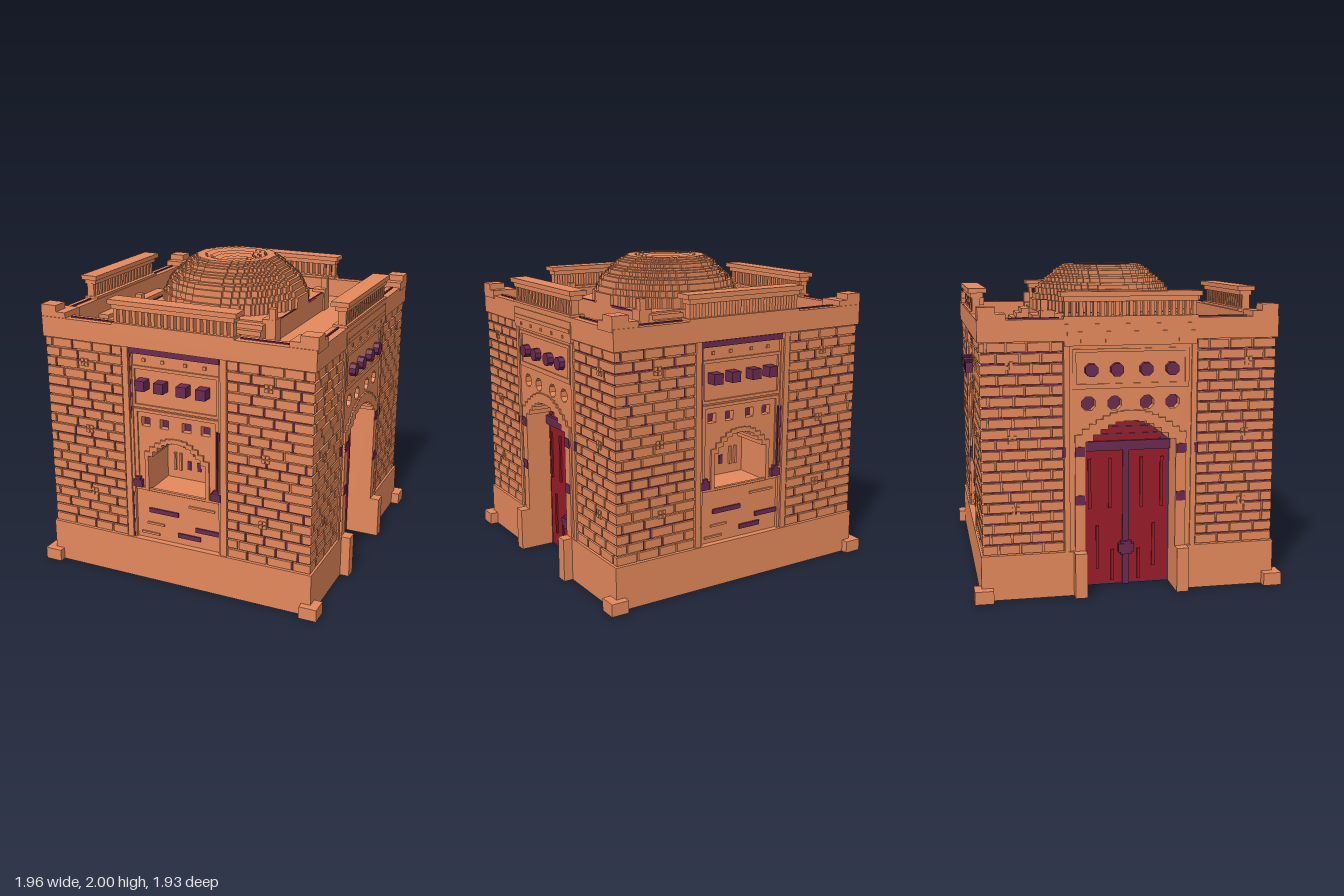
import * as THREE from 'three';
import { mergeGeometries } from 'three/addons/utils/BufferGeometryUtils.js';

const mat = (name, color) => Object.assign(new THREE.MeshStandardMaterial({ color }), { name });

export function createModel() {
  const clay = mat('terracotta', 0xe4895c);
  const plum = mat('plum', 0x6a2a50);
  const red = mat('door red', 0x981c28);
  const model = new THREE.Group();
  model.name = 'domedPavilion';

  let seed = 7;
  const rnd = () => (seed = (seed * 16807) % 2147483647) / 2147483647;

  const add = (parent, name, geo, m) => {
    const mesh = new THREE.Mesh(geo, m);
    mesh.name = name;
    parent.add(mesh);
    return mesh;
  };
  // box geometry from min/max ranges
  const bg = (x0, x1, y0, y1, z0, z1) =>
    new THREE.BoxGeometry(x1 - x0, y1 - y0, z1 - z0).translate((x0 + x1) / 2, (y0 + y1) / 2, (z0 + z1) / 2);
  const box = (p, name, m, ...r) => add(p, name, bg(...r), m);
  const many = (p, name, m, list) => add(p, name, mergeGeometries(list), m);
  const toShape = pts => new THREE.Shape(pts.map(q => new THREE.Vector2(q[0], q[1])));
  const slab = (pts, z0, z1, holes = []) => {
    const s = toShape(pts);
    s.holes = holes.map(toShape);
    return new THREE.ExtrudeGeometry(s, { depth: z1 - z0, bevelEnabled: false }).translate(0, 0, z0);
  };
  const rect = (x0, x1, y0, y1) => [[x0, y0], [x1, y0], [x1, y1], [x0, y1]];
  const octagon = (x, y, r) => Array.from({ length: 8 }, (_, i) => {
    const a = (i + 0.5) * Math.PI / 4;
    return [x + r * Math.cos(a), y + r * Math.sin(a)];
  });
  // stepped arch outline, counter-clockwise from lower right to lower left
  const arch = (hw, y0, spring, rise, n) => {
    const half = [[hw, y0]];
    for (let i = 0; i < n; i++) {
      const y = spring + rise * Math.sin((i + 1) / n * Math.PI / 2);
      half.push([hw * (1 - i / n), y]);
      if (i < n - 1) half.push([hw * (1 - (i + 1) / n), y]);
    }
    return [...half, ...half.slice().reverse().map(([x, y]) => [-x, y])];
  };

  // brick fields either side of a bay
  function bricks(p, inner, bossX, upright) {
    const rows = 20, pitch = 1.29 / rows;
    for (const s of [-1, 1]) {
      const list = [], joints = [];
      for (let r = 0; r < rows; r++) {
        const y0 = 0.28 + r * pitch + 0.005, y1 = y0 + pitch - 0.012;
        let x = inner, first = r % 2;
        while (x < 0.905) {
          let e = x + (first ? 0.065 : 0.105 + rnd() * 0.05);
          first = 0;
          if (e > 0.865) e = 0.908;
          const [a, b] = s > 0 ? [x, e] : [-e, -x];
          list.push(bg(a, b, y0, y1, 0.885, 0.908));
          const c = s * (e + 0.006);
          if (upright && e < 0.9 && rnd() < (s > 0 ? 0.85 : 0.5))
            joints.push(bg(c - 0.006, c + 0.006, y0, y1, 0.892, 0.897),
              bg(c - 0.022, c + 0.022, y0 - 0.009, y0 - 0.002, 0.892, 0.897));
          x = e + 0.012;
        }
        if (r && (!upright || rnd() < 0.3)) {
          const [a, b] = s > 0 ? [inner, 0.895] : [-0.895, -inner];
          joints.push(bg(a, b, y0 - 0.01, y0 - 0.002, 0.892, 0.8975));
        }
      }
      many(p, 'bricks', clay, list);
      many(p, 'joints', plum, joints);
      // small four-petal bosses
      const bosses = [];
      for (const [dx, y] of [[0, 1.43], [0.015, 0.985], [0.03, 0.55]])
        for (const i of [-1, 1]) for (const j of [-1, 1])
          bosses.push(bg(s * (bossX - dx) + i * 0.014 - 0.011, s * (bossX - dx) + i * 0.014 + 0.011,
            y + j * 0.014 - 0.011, y + j * 0.014 + 0.011, 0.9, 0.915));
      many(p, 'bosses', clay, bosses);
    }
  }

  // parapet balustrade over a bay
  function balustrade(p) {
    const list = [bg(-0.41, 0.41, 1.70, 1.715, 0.83, 0.925), bg(-0.41, 0.41, 1.80, 1.83, 0.84, 0.92),
      bg(-0.43, 0.43, 1.83, 1.86, 0.82, 0.935)];
    for (let i = 0; i < 19; i++) {
      const x = -0.39 + i * 0.78 / 18;
      list.push(bg(x - 0.012, x + 0.012, 1.71, 1.81, 0.86, 0.91));
    }
    many(p, 'balustrade', clay, list);
    many(p, 'parapetTrim', plum, [[-0.73, -0.43], [0.43, 0.73]].map(([a, b]) => bg(a, b, 1.695, 1.708, 0.865, 0.877)));
  }

  // facade with the arched niche
  function windowSide(p) {
    bricks(p, 0.36, 0.625, true);
    balustrade(p);
    box(p, 'plinth', clay, -0.92, 0.92, 0, 0.28, 0.8, 0.92);
    const xs = [-0.215, -0.085, 0.07, 0.2];
    const niche = arch(0.2, 0.62, 0.82, 0.15, 6);
    const holes = xs.map(x => rect(x - 0.03, x + 0.03, 1.055, 1.115));
    add(p, 'bayPanel', slab(rect(-0.36, 0.36, 0.27, 1.57), 0.63, 0.88, [niche, ...holes]), clay);
    box(p, 'nicheBack', clay, -0.25, 0.25, 0.6, 1.15, 0.61, 0.632);
    many(p, 'holeBacks', plum, xs.map(x => bg(x - 0.03, x + 0.03, 1.055, 1.115, 0.835, 0.84)));
    many(p, 'cubes', plum, xs.map(x => bg(x - 0.033, x + 0.033, 1.307, 1.373, 0.87, 0.95)));
    add(p, 'nicheMoulding', slab(arch(0.225, 0.62, 0.85, 0.15, 6), 0.88, 0.892, [niche]), clay);
    add(p, 'upperFrame', slab(rect(-0.3, 0.3, 1.18, 1.45), 0.87, 0.892, [rect(-0.28, 0.28, 1.2, 1.43)]), clay);
    add(p, 'lowerFrame', slab(rect(-0.3, 0.3, 0.62, 1.17), 0.87, 0.89, [rect(-0.27, 0.27, 0.635, 1.15)]), clay);
    many(p, 'bayPosts', clay, [-1, 1].flatMap(s => [
      bg(s * 0.333 - 0.02, s * 0.333 + 0.02, 0.28, 1.57, 0.87, 0.912),
      bg(s * 0.305 - 0.01, s * 0.305 + 0.01, 0.28, 1.53, 0.87, 0.9)]));
    many(p, 'bayLines', plum, [[-0.31, 0.28, 0.6], [-0.305, 1.1, 1.53], [0.302, 0.7, 1.1], [0.284, 0.7, 1.1]]
      .map(([x, y0, y1]) => bg(x - 0.004, x + 0.004, y0, y1, 0.88, 0.902)));
    box(p, 'topBand', plum, -0.31, 0.3, 1.53, 1.565, 0.87, 0.903);
    many(p, 'studs', clay, xs.map(x => bg(x - 0.01, x + 0.01, 1.48, 1.5, 0.87, 0.89)));
    many(p, 'nicheBrackets', plum, [-1, 1].flatMap(s => [
      bg(s * 0.275 - 0.033, s * 0.275 + 0.033, 0.64, 0.69, 0.87, 0.905),
      bg(s * 0.275 - 0.018, s * 0.275 + 0.018, 0.69, 0.71, 0.87, 0.904)]));
    many(p, 'nicheMarks', plum, [[-0.07, 0.87], [0, 0.82], [0.07, 0.87], [-0.04, 0.72], [0.03, 0.72]]
      .map(([x, y]) => bg(x - 0.013, x + 0.013, y - 0.03, y + 0.03, 0.63, 0.638)));
    many(p, 'nicheSlats', clay, [-0.14, -0.1, 0.1, 0.14].map(x => bg(x - 0.007, x + 0.007, 0.68, 0.8, 0.63, 0.65)));
    const bar = ([x, y, w, h]) => bg(x - w / 2, x + w / 2, y - h / 2, y + h / 2, 0.87, 0.89);
    many(p, 'plumBars', plum, [[-0.1, 0.483, 0.21, 0.03], [0.22, 0.405, 0.19, 0.03], [0.08, 0.343, 0.16, 0.03]].map(bar));
    many(p, 'clayBars', clay, [[0.17, 0.557, 0.18, 0.014], [-0.16, 0.39, 0.12, 0.014], [-0.2, 0.318, 0.13, 0.014]].map(bar));
  }

  // facade with the recessed double door
  function doorSide(p) {
    bricks(p, 0.415, 0.735, false);
    balustrade(p);
    const opening = arch(0.28, 0, 0.92, 0.16, 6);
    const holes = [-0.26, -0.1, 0.1, 0.26].map(x => [x, 1.19]);
    add(p, 'doorBay', slab([[0.41, 0], [0.41, 1.6], [-0.41, 1.6], [-0.41, 0], ...opening.slice().reverse()],
      0.75, 0.905, holes.map(([x, y]) => octagon(x, y, 0.045))), clay);
    many(p, 'holeBacks', plum, holes.map(([x, y]) => bg(x - 0.045, x + 0.045, y - 0.045, y + 0.045, 0.85, 0.856)));
    many(p, 'knobs', plum, [-0.245, -0.09, 0.09, 0.25].map(x => slab(octagon(x, 1.395, 0.042), 0.9, 0.945)));
    add(p, 'knobFrame', slab(rect(-0.36, 0.36, 1.28, 1.52), 0.9, 0.913, [rect(-0.335, 0.335, 1.31, 1.5)]), clay);
    many(p, 'bayPosts', clay, [-0.393, 0.393].map(x => bg(x - 0.017, x + 0.017, 0.28, 1.6, 0.89, 0.915)));
    many(p, 'headBand', clay, [bg(-0.405, 0.405, 1.54, 1.67, 0.9, 0.925), bg(-0.39, 0.39, 1.6, 1.625, 0.92, 0.93),
      ...[-0.3, -0.15, 0, 0.15, 0.3].map(x => bg(x - 0.01, x + 0.01, 1.56, 1.58, 0.92, 0.93))]);
    add(p, 'archMoulding', slab([...arch(0.345, 0.9, 0.97, 0.175, 8), ...arch(0.28, 0.9, 0.92, 0.16, 6).reverse()],
      0.9, 0.918), clay);
    for (const s of [-1, 1]) {
      const side = (name, m, a, b, ...r) => box(p, name, m, Math.min(s * a, s * b), Math.max(s * a, s * b), ...r);
      side('plinth', clay, 0.35, 0.92, 0, 0.28, 0.8, 0.92);
      side('jamb', clay, 0.28, 0.345, 0, 0.9, 0.89, 0.918);
      side('jambBlock', clay, 0.28, 0.355, 0, 0.28, 0.89, 0.98);
      for (const y of [0.6, 0.9]) side('hinge', plum, 0.285, 0.345, y - 0.03, y + 0.03, 0.91, 0.922);
      side('hingeEnd', plum, 0.4, 0.42, 0.87, 0.93, 0.9, 0.917);
    }
    // door leaves and their fittings
    add(p, 'doorEdge', slab(arch(0.285, 0, 0.92, 0.165, 6), 0.72, 0.752), plum);
    add(p, 'doorLeaves', slab(arch(0.262, 0.015, 0.9, 0.15, 6), 0.74, 0.758), red);
    many(p, 'doorStrips', plum, [bg(-0.02, 0.02, 0, 0.9, 0.75, 0.768), bg(-0.28, 0.28, 0.87, 0.93, 0.75, 0.775),
      bg(-0.05, 0.05, 0.215, 0.27, 0.75, 0.79), bg(-0.035, 0.035, 0.2, 0.285, 0.75, 0.787)]);
    many(p, 'archBars', plum, [bg(-0.2, 0.2, 0.965, 0.975, 0.75, 0.765), bg(-0.14, 0.14, 1.01, 1.02, 0.75, 0.765)]);
    many(p, 'doorRibs', red, [-1, 1].flatMap(s => [[0.23, 0.66, 0.32], [0.1, 0.66, 0.32], [0.18, 0.25, 0.28], [0.085, 0.13, 0.2]]
      .map(([x, y, h]) => bg(s * x - 0.01, s * x + 0.01, y - h / 2, y + h / 2, 0.75, 0.768))));
  }

  for (let i = 0; i < 4; i++) {
    const side = new THREE.Group();
    side.name = i % 2 ? 'doorFacade' : 'windowFacade';
    (i % 2 ? doorSide : windowSide)(side);
    side.rotation.y = i * Math.PI / 2;
    model.add(side);
  }

  // corner piers, feet and low roof caps
  for (const sx of [-1, 1]) for (const sz of [-1, 1]) {
    const corner = (name, x0, x1, y0, y1, z0, z1) => box(model, name, clay,
      Math.min(sx * x0, sx * x1), Math.max(sx * x0, sx * x1), y0, y1, Math.min(sz * z0, sz * z1), Math.max(sz * z0, sz * z1));
    corner('pier', 0.36, 0.893, 0, 1.57, 0.405, 0.893);
    corner('foot', 0.86, 0.975, 0, 0.08, 0.85, 0.965);
    corner('cornerBlock', 0.75, 0.925, 1.68, 1.735, 0.75, 0.915);
    corner('cornerCap', 0.815, 0.925, 1.735, 1.775, 0.81, 0.915);
    corner('platformPost', 0.4, 0.49, 1.57, 1.72, 0.4, 0.49);
    corner('platformFinial', 0.445, 0.488, 1.72, 1.79, 0.445, 0.488);
    // stairs up to the dome platform
    for (let k = 0; k < 4; k++)
      corner('stair', 0.2, 0.425, 1.57, 1.60 + k * 0.03, 0.47, 0.64 - k * 0.035);
    const tread = box(model, 'stairFoot', plum, -0.11, 0.11, 1.565, 1.585, -0.015, 0.015);
    tread.position.set(sx * 0.313, 0, sz * 0.652);
  }

  // floor, roof and parapet
  box(model, 'floor', clay, -0.75, 0.75, 0, 0.02, -0.9, 0.9);
  box(model, 'roof', clay, -0.88, 0.88, 1.52, 1.575, -0.88, 0.88);
  add(model, 'parapet', slab(rect(-0.92, 0.92, -0.92, 0.92), 1.57, 1.70, [rect(-0.825, 0.825, -0.815, 0.815)])
    .rotateX(-Math.PI / 2), clay);
  box(model, 'platform', clay, -0.48, 0.48, 1.57, 1.70, -0.48, 0.48);
  for (const s of [-1, 1]) for (const z of [-0.25, 0.25])
    box(model, 'platformTrim', plum, s * 0.475 - 0.005, s * 0.475 + 0.005, 1.69, 1.706, z - 0.13, z + 0.13);

  // block-edged circle
  const disc = (r, cell) => {
    const n = Math.max(1, Math.round(r / cell)), q = [], all = [];
    for (let i = 0; i < n; i++) {
      const h = Math.max(1, Math.round(Math.sqrt(n * n - (i + 0.5) ** 2))) * cell;
      q.push([i * cell, h], [(i + 1) * cell, h]);
    }
    for (let k = 0; k < 4; k++) for (const [x, y] of q)
      all.push([[x, y], [y, -x], [-x, -y], [-y, x]][k]);
    return all.filter((a, i, l) => {
      const b = l[(i + l.length - 1) % l.length];
      return Math.abs(a[0] - b[0]) + Math.abs(a[1] - b[1]) > 1e-6;
    });
  };
  // dome of stacked discs, with a shallow stepped hollow in the crown
  const profile = [[0.475, 1.7], [0.47, 1.77], [0.445, 1.82], [0.42, 1.86], [0.38, 1.9], [0.335, 1.94],
    [0.285, 1.975], [0.24, 2.0]];
  const layers = [];
  for (let k = 0; k < profile.length - 1; k++) {
    const [r0, y0] = profile[k], [r1, y1] = profile[k + 1];
    const n = Math.round((y1 - y0) / 0.0125);
    for (let j = 0; j < n; j++) {
      const a = y0 + (y1 - y0) * j / n, hollow = 0.2 * (a - 1.91) / 0.08;
      layers.push(slab(disc(r0 + (r1 - r0) * (j + 0.5) / n, 0.02), a, a + (y1 - y0) / n,
        hollow > 0.01 ? [disc(hollow, 0.02)] : []).rotateX(-Math.PI / 2));
    }
  }
  many(model, 'dome', clay, layers).position.z = -0.01;
  return model;
}
